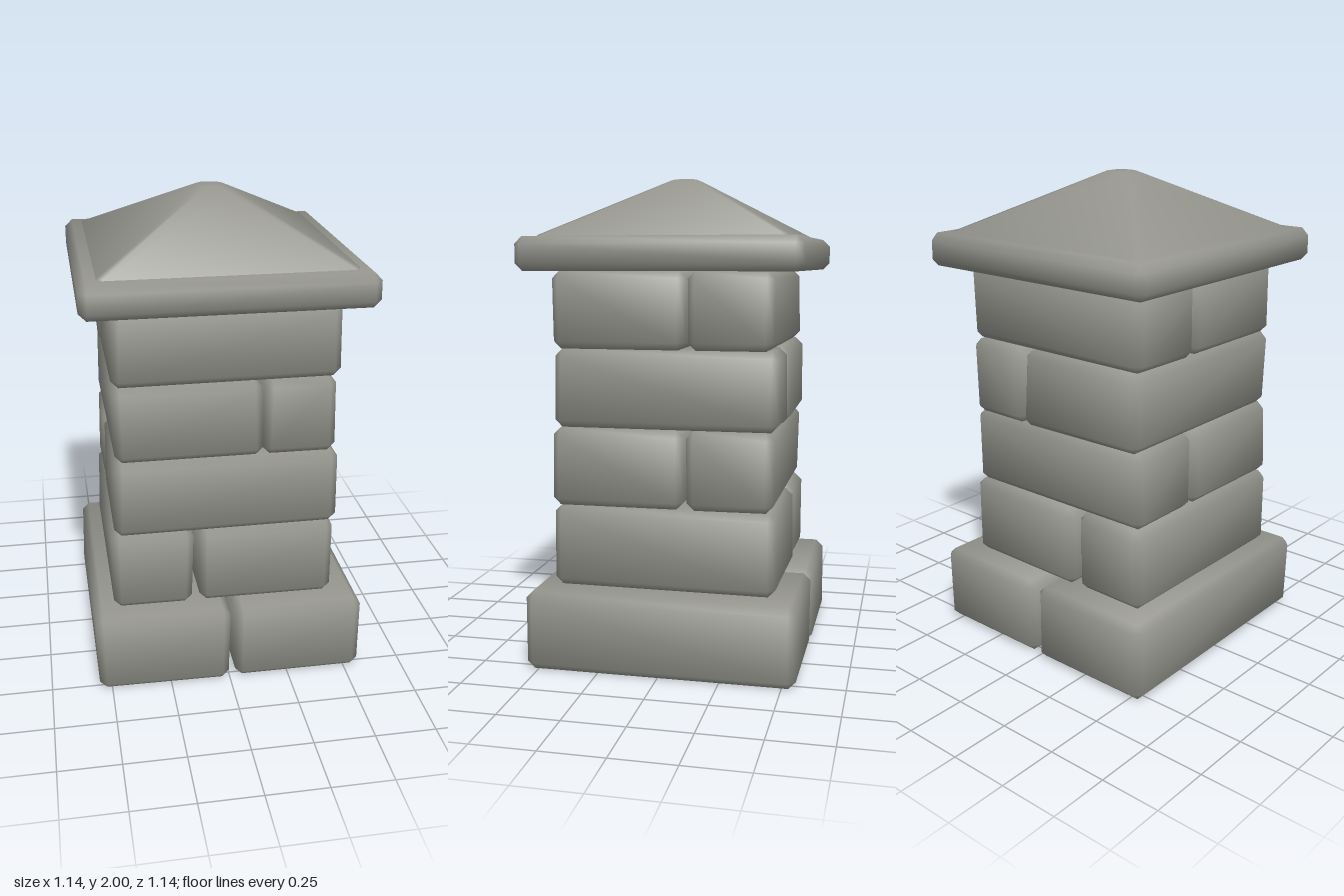
import * as THREE from 'three';

const SIGNS = [-1, 1];

// Small repeatable variation so that no two stones are alike
function makeRandom(seed) {
  let s = seed;
  return () => {
    s = (s * 16807) % 2147483647;
    return (s / 2147483647) * 2 - 1;
  };
}

function buildGeometry(pos, normals, index) {
  const geo = new THREE.BufferGeometry();
  geo.setAttribute('position', new THREE.Float32BufferAttribute(pos, 3));
  geo.setAttribute('normal', new THREE.Float32BufferAttribute(normals, 3));
  geo.setIndex(index);
  return geo;
}

// Chamfered box with soft normals; each corner has one vertex per axis
function stoneGeometry(size, bevel, wobble, seed, openBottom) {
  const rand = makeRandom(seed);
  const pos = [], normals = [], index = [];
  const half = size.map((v) => v / 2);
  const id = (signs, axis) =>
    ((signs[0] > 0 ? 4 : 0) + (signs[1] > 0 ? 2 : 0) + (signs[2] > 0 ? 1 : 0)) * 3 + axis;

  for (const x of SIGNS) for (const y of SIGNS) for (const z of SIGNS) {
    const signs = [x, y, z];
    const shift = [rand() * wobble, 0, rand() * wobble];
    for (let axis = 0; axis < 3; axis++) {
      const n = new THREE.Vector3();
      for (let k = 0; k < 3; k++) {
        pos.push(signs[k] * (half[k] - (k === axis ? 0 : bevel)) + shift[k]);
        n.setComponent(k, signs[k] * (k === axis ? 1 : 0.38));
      }
      normals.push(...n.normalize().toArray());
    }
  }

  // Adds a convex face, turned so that it looks outward
  const point = (i) => new THREE.Vector3().fromArray(pos, i * 3);
  const addFace = (f) => {
    const [a, b, c] = f.map(point);
    const out = b.clone().sub(a).cross(c.clone().sub(a)).dot(a.clone().add(b).add(c)) > 0;
    for (let i = 1; i < f.length - 1; i++) {
      index.push(f[0], out ? f[i] : f[i + 1], out ? f[i + 1] : f[i]);
    }
  };

  for (let a = 0; a < 3; a++) {
    const u = (a + 1) % 3, v = (a + 2) % 3;
    const corner = (sa, su, sv) => {
      const c = [0, 0, 0];
      c[a] = sa; c[u] = su; c[v] = sv;
      return c;
    };
    // Two flat sides
    for (const s of SIGNS) {
      if (openBottom && a === 1 && s < 0) continue;
      addFace([[-1, -1], [1, -1], [1, 1], [-1, 1]].map(([p, q]) => id(corner(s, p, q), a)));
    }
    // Four chamfered edges along this axis
    for (const su of SIGNS) for (const sv of SIGNS) {
      const c0 = corner(-1, su, sv), c1 = corner(1, su, sv);
      addFace([id(c0, u), id(c1, u), id(c1, v), id(c0, v)]);
    }
  }
  // Corner triangles
  for (const x of SIGNS) for (const y of SIGNS) for (const z of SIGNS) {
    addFace([0, 1, 2].map((axis) => id([x, y, z], axis)));
  }
  return buildGeometry(pos, normals, index);
}

// Pyramid roof from eight-sided rings: [y, half width, corner cut, outward lean of the normal]
function roofGeometry(rings) {
  const pos = [], normals = [], index = [];
  for (const [y, h, c, lean] of rings) {
    for (let side = 0; side < 4; side++) {
      const turn = side * Math.PI / 2;
      for (const s of SIGNS) {
        const p = new THREE.Vector3(h, y, s * (h - c));
        const n = new THREE.Vector3(lean, 1, s * lean * 0.25).normalize();
        for (const v of [p, n]) v.applyAxisAngle(new THREE.Vector3(0, 1, 0), -turn);
        pos.push(...p.toArray());
        normals.push(...n.toArray());
      }
    }
  }
  for (let r = 0; r < rings.length - 1; r++) {
    for (let i = 0; i < 8; i++) {
      const a = r * 8 + i, b = r * 8 + (i + 1) % 8;
      index.push(a, a + 8, b, b, a + 8, b + 8);
    }
  }
  // Flat tip
  const top = (rings.length - 1) * 8;
  for (let i = 1; i < 7; i++) index.push(top, top + i + 1, top + i);
  return buildGeometry(pos, normals, index);
}

export function createModel() {
  const model = new THREE.Group();
  model.name = 'stonePillar';
  const color = 0x95958e;
  const stone = new THREE.MeshStandardMaterial({ color });
  const openStone = new THREE.MeshStandardMaterial({ color, side: THREE.DoubleSide });
  let seed = 11;

  // A stone given by its extents
  const addStone = (name, x, y, z, { wobble = 0.006, open = false } = {}) => {
    const spans = [x, y, z];
    const size = spans.map(([a, b]) => b - a);
    seed += 7919;
    const mesh = new THREE.Mesh(
      stoneGeometry(size, 0.03, wobble, seed, open), open ? openStone : stone);
    mesh.position.set(...spans.map(([a, b]) => (a + b) / 2));
    mesh.name = name;
    model.add(mesh);
  };

  // Footing: two wide stones, hollow underneath
  const hollow = { open: true, wobble: 0.004 };
  addStone('baseStoneRight', [-0.555, 0], [0, 0.33], [-0.56, 0.55], hollow);
  addStone('baseStoneLeft', [0.025, 0.565], [0, 0.33], [-0.56, 0.55], hollow);

  // Courses of two stones, alternately split across the width and the depth
  const courses = [
    { y: [0.332, 0.67], split: 'x', spans: [[-0.47, -0.14], [-0.117, 0.455]], across: [-0.46, 0.455] },
    { y: [0.67, 0.99], split: 'z', spans: [[-0.445, -0.092], [-0.082, 0.462]], across: [-0.458, 0.455] },
    { y: [0.99, 1.31], split: 'x', spans: [[-0.452, 0.144], [0.147, 0.44]], across: [-0.467, 0.45] },
    { y: [1.31, 1.62], split: 'z', spans: [[-0.445, -0.097], [-0.093, 0.452]], across: [-0.457, 0.453] },
  ];
  courses.forEach(({ y, split, spans, across }, row) => {
    spans.forEach((span, i) => {
      const name = `course${row + 1}Stone${i + 1}`;
      if (split === 'x') addStone(name, span, y, across);
      else addStone(name, across, y, span);
    });
  });

  // Cap slab, hollow underneath, and pyramid roof
  addStone('capSlab', [-0.568, 0.565], [1.62, 1.755], [-0.57, 0.567], hollow);
  const roof = new THREE.Mesh(
    roofGeometry([
      [1.745, 0.495, 0.02, 1.3],
      [1.76, 0.495, 0.02, 1.3],
      [1.985, 0.075, 0.025, 0.35],
      [1.997, 0.05, 0.02, 0.25],
      [2, 0.03, 0.012, 0.1],
    ]),
    stone);
  roof.name = 'capRoof';
  roof.position.z = -0.003;
  model.add(roof);

  return model;
}
